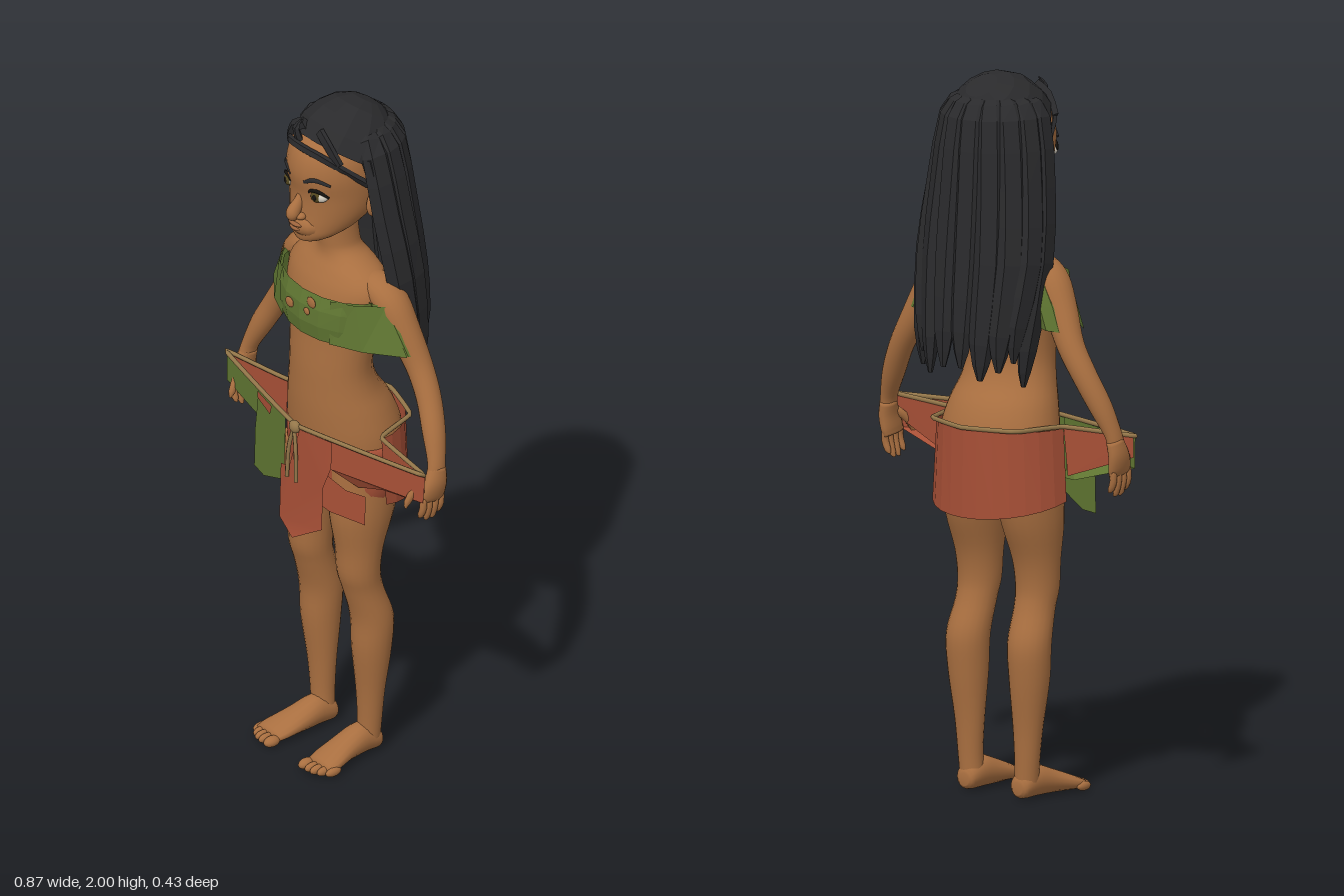
import * as THREE from 'three';

const mat = (name, color, side = THREE.FrontSide) => {
  const m = new THREE.MeshStandardMaterial({ color, side });
  m.name = name;
  return m;
};
const V = (x, y, z) => new THREE.Vector3(x, y, z);
const X = V(1, 0, 0), Y = V(0, 1, 0), Z = V(0, 0, 1);

// Sweep elliptical rings [x, y, z, a, b] along a smooth path.
function loft(pts, { sides = 20, sub = 4, ref = Z, axis = null, caps = true, flat = false } = {}) {
  const path = new THREE.CatmullRomCurve3(pts.map(p => V(p[0], p[1], p[2])), false, 'catmullrom', 0.5);
  const size = new THREE.CatmullRomCurve3(pts.map(p => V(p[3], p[4], 0)), false, 'catmullrom', 0.5);
  const n = (pts.length - 1) * sub, pos = [], idx = [];
  for (let i = 0; i <= n; i++) {
    const c = path.getPoint(i / n), s = size.getPoint(i / n);
    const t = axis || path.getTangent(i / n);
    const u = V(0, 0, 0).crossVectors(t, ref).normalize();
    const v = V(0, 0, 0).crossVectors(u, t).normalize();
    for (let j = 0; j < sides; j++) {
      const a = j / sides * Math.PI * 2;
      const p = c.clone().addScaledVector(u, Math.cos(a) * s.x).addScaledVector(v, Math.sin(a) * s.y);
      pos.push(p.x, p.y, p.z);
    }
  }
  for (let i = 0; i < n; i++) for (let j = 0; j < sides; j++) {
    const k = (j + 1) % sides, a = i * sides + j, b = i * sides + k;
    idx.push(a, a + sides, b, b, a + sides, b + sides);
  }
  if (caps) {
    const c0 = pos.length / 3, last = n * sides;
    const s = path.getPoint(0), e = path.getPoint(1);
    pos.push(s.x, s.y, s.z, e.x, e.y, e.z);
    for (let j = 0; j < sides; j++) {
      const k = (j + 1) % sides;
      idx.push(c0, j, k, c0 + 1, last + k, last + j);
    }
  }
  let g = new THREE.BufferGeometry();
  g.setAttribute('position', new THREE.Float32BufferAttribute(pos, 3));
  g.setIndex(idx);
  if (flat) g = g.toNonIndexed();
  g.computeVertexNormals();
  return g;
}
// Rows of [y, half width, front z, back z] become level rings.
const rows = r => r.map(([y, w, f, b]) => [0, y, (f + b) / 2, w, (f - b) / 2]);

// Cloth between an upper and a lower edge.
function sheet(top, bottom) {
  const pos = [], idx = [];
  top.forEach((p, i) => pos.push(...p, ...bottom[i]));
  for (let i = 0; i < top.length - 1; i++) idx.push(2 * i, 2 * i + 1, 2 * i + 2, 2 * i + 2, 2 * i + 1, 2 * i + 3);
  let g = new THREE.BufferGeometry();
  g.setAttribute('position', new THREE.Float32BufferAttribute(pos, 3));
  g.setIndex(idx);
  g = g.toNonIndexed();
  g.computeVertexNormals();
  return g;
}
// Flat cloth outline, bent back away from the middle.
function panel(outline, offset = 0) {
  const g = new THREE.ShapeGeometry(new THREE.Shape(outline.map(p => new THREE.Vector2(...p))));
  const p = g.attributes.position;
  for (let i = 0; i < p.count; i++) {
    const x = p.getX(i);
    p.setZ(i, 0.163 - 0.25 * Math.max(0, Math.abs(x) - 0.035) + offset + (1.02 - p.getY(i)) * 0.03);
  }
  g.computeVertexNormals();
  return g;
}

export function createModel() {
  const root = new THREE.Group();
  const skin = mat('brown skin', 0xa96f40), hair = mat('black hair', 0x2a2a2c, THREE.DoubleSide);
  const green = mat('green cloth', 0x607632, THREE.DoubleSide), red = mat('red cloth', 0xa64f36, THREE.DoubleSide);
  const rope = mat('tan rope', 0x94774a), white = mat('eye white', 0xd9d2c4);
  const iris = mat('eye iris', 0x55481f), dark = mat('eye pupil', 0x15120f), lip = mat('lips', 0x9c633c);
  const add = (name, g, m, parent = root) => {
    const o = new THREE.Mesh(g, m);
    o.name = name;
    parent.add(o);
    return o;
  };
  const ball = (name, x, y, z, rx, ry, rz, m, parent) => {
    const o = add(name, new THREE.SphereGeometry(1, 16, 12), m, parent);
    o.position.set(x, y, z);
    o.scale.set(rx, ry, rz);
    return o;
  };
  const level = { axis: Y, sides: 28 };

  // Torso, neck and head
  add('torso', loft(rows([[0.85, 0.14, 0.09, -0.09], [0.92, 0.172, 0.125, -0.12], [1.0, 0.18, 0.135, -0.14],
    [1.08, 0.165, 0.14, -0.115], [1.15, 0.145, 0.14, -0.07], [1.22, 0.138, 0.138, -0.05], [1.32, 0.15, 0.13, -0.06],
    [1.4, 0.17, 0.13, -0.075], [1.46, 0.178, 0.115, -0.08], [1.5, 0.155, 0.095, -0.075], [1.53, 0.1, 0.078, -0.06],
    [1.555, 0.064, 0.073, -0.045], [1.59, 0.053, 0.075, -0.04], [1.68, 0.05, 0.08, -0.03]]), level), skin);
  add('head', loft(rows([[1.61, 0.018, 0.148, 0.1], [1.618, 0.046, 0.158, 0.07], [1.64, 0.078, 0.162, 0.015],
    [1.67, 0.101, 0.161, -0.05], [1.71, 0.117, 0.158, -0.09], [1.76, 0.126, 0.158, -0.11], [1.82, 0.13, 0.167, -0.12],
    [1.88, 0.124, 0.153, -0.12], [1.93, 0.1, 0.112, -0.11], [1.965, 0.06, 0.05, -0.08], [1.975, 0.01, 0.01, -0.03]]), level), skin);
  add('nose', loft([[0, 1.765, 0.143, 0.01, 0.008], [0, 1.735, 0.155, 0.013, 0.016], [0, 1.71, 0.174, 0.018, 0.02],
    [0, 1.697, 0.177, 0.017, 0.018], [0, 1.686, 0.166, 0.008, 0.008]], { sides: 16 }), skin);
  ball('muzzle', 0, 1.662, 0.125, 0.06, 0.04, 0.05, skin);
  ball('upperLip', 0, 1.669, 0.167, 0.027, 0.007, 0.013, lip);
  ball('lowerLip', 0, 1.656, 0.166, 0.023, 0.008, 0.013, lip);

  // Hair: tilted cap, hairline locks and a fan of long strands
  const cap = add('hairCap', new THREE.SphereGeometry(1, 14, 5, 0, Math.PI * 2, 0, Math.PI / 2).toNonIndexed(), hair);
  cap.geometry.scale(0.148, 0.158, 0.152);
  cap.geometry.computeVertexNormals();
  cap.position.set(0, 1.842, 0);
  cap.rotation.x = -0.56;
  add('foreheadLock', loft([[-0.14, 1.8, 0.025, 0.016, 0.01], [-0.085, 1.878, 0.118, 0.014, 0.01],
    [0, 1.898, 0.147, 0.013, 0.01], [0.085, 1.878, 0.118, 0.014, 0.01], [0.14, 1.8, 0.025, 0.016, 0.01]],
    { sides: 5, sub: 3, flat: true }), hair);
  const flat5 = { sides: 5, sub: 2, flat: true };
  add('hairTuft', loft([[-0.03, 1.905, 0.13, 0.016, 0.01], [-0.035, 1.94, 0.138, 0.012, 0.008],
    [-0.03, 1.965, 0.122, 0.002, 0.002]], flat5), hair);
  for (const s of [-1, 1])
    add('hairlineLock', loft([[s * 0.03, 1.945, 0.108, 0.02, 0.01], [s * 0.07, 1.92, 0.112, 0.02, 0.01],
      [s * 0.105, 1.87, 0.1, 0.018, 0.01]], flat5), hair);
  const N = 10;
  for (let i = 0; i < N; i++) {
    const a = (i / (N - 1) - 0.5) * 3.35, s = Math.sin(a), c = Math.cos(a);
    const end = 1.2 + 0.05 * ((i * 5) % 3) / 2 - (i % 4 === 0 ? 0.02 : 0);
    const at = (y, rx, zc, rz, w, d) => [s * rx, y, zc - c * rz, w, d];
    add('hairStrand', loft([at(1.935, 0.1, -0.015, 0.1, 0.03, 0.01), at(1.885, 0.142, -0.012, 0.138, 0.042, 0.02),
      at(1.7, 0.17, -0.03, 0.135, 0.045, 0.027), at(1.5, 0.19, -0.06, 0.122, 0.045, 0.027),
      at(end + 0.08, 0.174, -0.1, 0.097, 0.036, 0.023), at(end - 0.02, 0.168, -0.108, 0.094, 0.008, 0.006)],
      { sides: 6, sub: 2, flat: true, ref: V(s, 0, -c) }), hair);
  }

  // Bandeau top with small tears
  add('topBand', loft(rows([[1.32, 0.172, 0.148, -0.078], [1.365, 0.18, 0.156, -0.088], [1.415, 0.185, 0.154, -0.093],
    [1.455, 0.187, 0.142, -0.096]]), { axis: Y, sides: 16, sub: 1, caps: false, flat: true }), green);
  for (const [x, y, z, r] of [[-0.045, 1.395, 0.1525, 0.017], [0.042, 1.43, 0.1465, 0.018], [0.03, 1.4, 0.153, 0.012]])
    ball('tear', x, y, z, r, r * 0.9, 0.0045, skin);

  for (const s of [-1, 1]) {
    const side = new THREE.Group();
    side.name = s > 0 ? 'leftSide' : 'rightSide';
    root.add(side);
    const m = pts => pts.map(([x, ...r]) => [x * s, ...r]);
    const limb = (name, pts, o, material = skin) => add(name, loft(m(pts), o), material, side);
    const wrap = s > 0 ? red : green;

    // Face details and ear
    ball('eye', s * 0.062, 1.77, 0.135, 0.027, 0.018, 0.017, white, side).rotation.y = s * 0.35;
    ball('iris', s * 0.061, 1.77, 0.145, 0.017, 0.0165, 0.0095, iris, side).rotation.y = s * 0.3;
    ball('pupil', s * 0.061, 1.77, 0.1515, 0.008, 0.009, 0.005, dark, side);
    limb('eyelid', [[0.034, 1.772, 0.15, 0.003, 0.003], [0.048, 1.787, 0.152, 0.005, 0.005],
      [0.072, 1.788, 0.144, 0.005, 0.005], [0.094, 1.773, 0.126, 0.003, 0.003]], { sides: 6, ref: Y }, dark);
    limb('eyebrow', [[0.028, 1.808, 0.16, 0.005, 0.006], [0.06, 1.822, 0.15, 0.005, 0.007],
      [0.097, 1.81, 0.124, 0.003, 0.004]], { sides: 8, ref: Y }, hair);
    ball('nostril', s * 0.018, 1.696, 0.162, 0.012, 0.01, 0.015, skin, side);
    ball('ear', s * 0.133, 1.735, 0.0, 0.012, 0.042, 0.026, skin, side).rotation.x = -0.2;
    limb('templeLock', [[0.135, 1.88, 0.015, 0.022, 0.03], [0.155, 1.8, 0.006, 0.017, 0.026],
      [0.162, 1.7, -0.012, 0.014, 0.02], [0.162, 1.6, -0.03, 0.005, 0.006]], flat5, hair);

    // Arm, hand and sleeve
    limb('arm', [[0.11, 1.48, -0.002, 0.035, 0.045], [0.155, 1.473, -0.004, 0.04, 0.05], [0.195, 1.438, -0.01, 0.048, 0.052],
      [0.234, 1.37, -0.02, 0.046, 0.046], [0.282, 1.28, -0.034, 0.038, 0.038], [0.33, 1.2, -0.03, 0.034, 0.035],
      [0.372, 1.12, -0.014, 0.031, 0.033], [0.402, 1.05, 0.001, 0.022, 0.027], [0.41, 1.01, 0.008, 0.02, 0.028]], {});
    limb('palm', [[0.407, 1.03, 0.003, 0.021, 0.027], [0.413, 0.99, 0.012, 0.021, 0.036], [0.41, 0.955, 0.02, 0.018, 0.041],
      [0.406, 0.935, 0.023, 0.013, 0.038]], { sides: 16 });
    for (let f = 0; f < 4; f++) {
      const z = -0.008 + f * 0.02, e = 0.885 - 0.012 * (f === 1 || f === 2);
      limb('finger', [[0.409, 0.95, z, 0.01, 0.01], [0.411, 0.92, z + 0.002, 0.01, 0.01],
        [0.402, e + 0.01, z + 0.003, 0.009, 0.009], [0.394, e, z + 0.003, 0.003, 0.003]], { sides: 8, sub: 2 });
    }
    limb('thumb', [[0.403, 1.0, 0.032, 0.012, 0.012], [0.387, 0.97, 0.062, 0.012, 0.011], [0.38, 0.935, 0.084, 0.01, 0.009],
      [0.38, 0.918, 0.09, 0.003, 0.003]], { sides: 8, sub: 2, ref: X });
    limb('sleeve', [[0.24, 1.32, -0.026, 0.062, 0.05], [0.212, 1.385, -0.016, 0.062, 0.056],
      [0.172, 1.455, -0.008, 0.058, 0.06]], { axis: Y, sides: 9, sub: 1, caps: false, flat: true }, green);
    // Cloth bridging chest and sleeve
    add('topBridge', sheet(m([[0.1, 1.453, 0.128], [0.165, 1.455, 0.092], [0.22, 1.455, 0.03]]),
      m([[0.1, 1.32, 0.131], [0.19, 1.32, 0.09], [0.29, 1.32, 0.012]])), green, side);

    // Leg, foot and toes
    limb('leg', [[0.098, 0.035, -0.006, 0.034, 0.033], [0.102, 0.1, -0.008, 0.036, 0.033], [0.105, 0.2, -0.008, 0.044, 0.039],
      [0.11, 0.33, -0.008, 0.057, 0.055], [0.11, 0.43, -0.008, 0.062, 0.059], [0.105, 0.52, 0.018, 0.058, 0.056],
      [0.104, 0.58, 0.032, 0.061, 0.06], [0.103, 0.66, 0.029, 0.066, 0.069], [0.1, 0.76, 0.018, 0.078, 0.096],
      [0.094, 0.86, 0.006, 0.083, 0.108], [0.09, 0.93, 0, 0.083, 0.115]], { axis: Y });
    limb('foot', [[0.096, 0.03, -0.043, 0.018, 0.018], [0.097, 0.036, -0.028, 0.034, 0.035], [0.097, 0.046, 0.02, 0.039, 0.045],
      [0.1, 0.037, 0.08, 0.045, 0.035], [0.108, 0.025, 0.14, 0.052, 0.023], [0.112, 0.017, 0.178, 0.048, 0.016]],
      { axis: Z, ref: Y, sides: 16 });
    for (let t = 0; t < 5; t++)
      ball('toe', s * (0.075 + t * 0.019 + (t > 0) * 0.006), 0.015, 0.189 - (t - 1) ** 2 * 0.003 + (t === 0) * 0.004,
        t ? 0.0115 : 0.017, t ? 0.013 : 0.015, 0.026, skin, side);

    // Skirt cloth drawn out to the hand, folded under along its lower edge
    add('backWing', sheet(m([[0.2, 1.03, 0.03], [0.425, 1.03, 0.06]]), m([[0.215, 0.9, 0.03], [0.425, 0.975, 0.06]])), red, side);
    add('frontWing', panel(m([[0.1, 1.03], [0.43, 1.03], [0.425, 0.945], [0.12, 0.94]]), -0.002), wrap, side);
    add('wingFold', sheet(m([[0.425, 0.945, 0.066], [0.12, 0.94, 0.142]]), m([[0.225, 0.888, 0.045], [0.16, 0.88, 0.08]])), wrap, side);
    add('waistString', new THREE.TubeGeometry(new THREE.CatmullRomCurve3([V(0, 1.03, 0.173), V(s * 0.014, 0.97, 0.179),
      V(s * 0.02, 0.87, 0.182)]), 10, 0.006, 6), rope, side);
  }

  // Shorts under the skirt
  add('shorts', loft(rows([[0.81, 0.172, 0.12, -0.105], [0.86, 0.186, 0.13, -0.122], [0.93, 0.186, 0.134, -0.136],
    [0.985, 0.184, 0.138, -0.142]]), { axis: Y, sides: 20, sub: 2 }), red);

  // Wrapped back and layered front panels of the skirt
  const top = [], bottom = [];
  for (let i = 0; i <= 14; i++) {
    const a = (i / 14 - 0.5) * Math.PI, s = Math.sin(a), c = Math.cos(a);
    top.push([s * 0.2, 1.03, 0.03 - c * 0.185]);
    bottom.push([s * 0.215, 0.785 + 0.045 * (1 - c), 0.025 - c * 0.183]);
  }
  add('skirtBack', sheet(top, bottom), red);
  add('greenPanel', panel([[-0.05, 1.03], [-0.05, 0.84], [-0.175, 0.785], [-0.235, 0.785], [-0.235, 0.9], [-0.22, 1.03]], 0.003), green);
  add('redSidePanel', panel([[0.04, 0.93], [0.16, 0.885], [0.225, 0.888], [0.225, 0.8], [0.11, 0.8], [0.04, 0.82]], -0.015), red);
  add('redFrontPanel', panel([[0.02, 1.03], [-0.02, 0.9], [-0.065, 0.885], [-0.065, 0.72], [0, 0.685], [0.105, 0.75],
    [0.105, 0.88], [0.13, 0.95], [0.13, 1.03]], 0.007), red);
  add('redTrim', panel([[-0.22, 1.025], [-0.13, 1.025], [-0.14, 0.995], [-0.22, 1.005]], 0.007), red);

  // Rope belt and knot
  const half = [[0.22, 0.12], [0.43, 0.066], [0.2, 0.03], [0.15, -0.11]];
  const loop = [[0, 0.168], ...half, [0, -0.16], ...half.map(([x, z]) => [-x, z]).reverse()];
  add('ropeBelt', new THREE.TubeGeometry(new THREE.CatmullRomCurve3(loop.map(([x, z]) => V(x, 1.035, z)),
    true, 'catmullrom', 0.12), 120, 0.0065, 7, true), rope);
  ball('ropeKnot', 0, 1.03, 0.17, 0.02, 0.018, 0.014, rope);
  return root;
}
